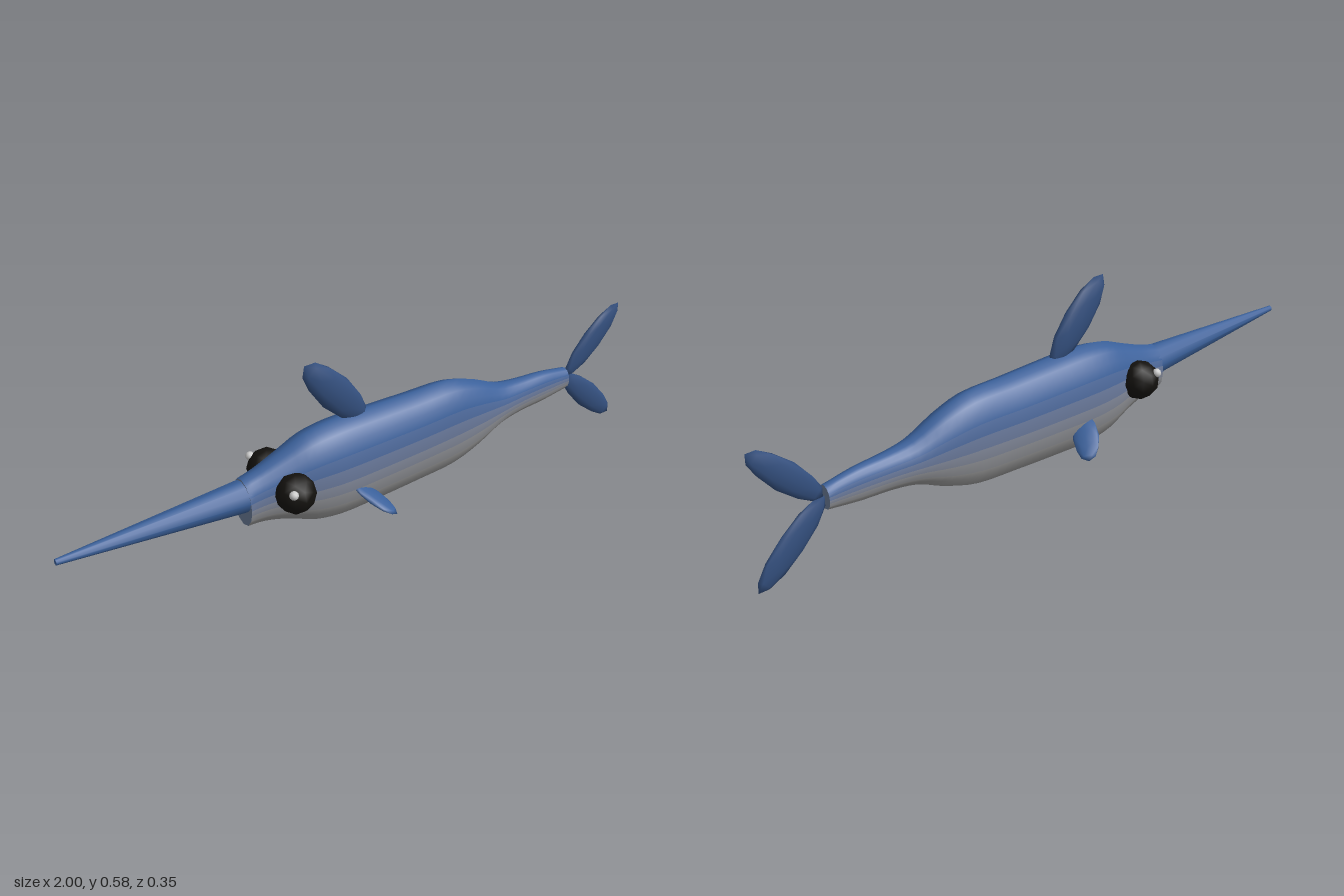
import * as THREE from 'three';

const BLUE = 0x3a609a, FIN = 0x34507f, BELLY = 0x9a9a9a;
const mat = (color) => new THREE.MeshStandardMaterial({ color });

function add(parent, name, geometry, color) {
  const mesh = new THREE.Mesh(geometry, mat(color));
  mesh.name = name;
  parent.add(mesh);
  return mesh;
}

// Body cross-sections: x, top y, bottom y, half width
const SECTIONS = [
  [-0.435, 0.29, 0.135, 0.054], [-0.38, 0.305, 0.13, 0.058], [-0.3, 0.335, 0.105, 0.072],
  [-0.22, 0.366, 0.068, 0.087], [-0.13, 0.378, 0.051, 0.094], [0, 0.376, 0.052, 0.092],
  [0.16, 0.371, 0.058, 0.087], [0.3, 0.367, 0.066, 0.08], [0.4, 0.335, 0.098, 0.069],
  [0.5, 0.288, 0.145, 0.053], [0.58, 0.275, 0.158, 0.042], [0.68, 0.268, 0.163, 0.034],
  [0.78, 0.25, 0.176, 0.027],
];

// Twelve-sided loft, split into strips that fade from blue back to grey belly
function buildBody() {
  const body = new THREE.Group();
  body.name = 'body';
  const sides = 24, rows = 36;
  const spine = new THREE.CatmullRomCurve3(SECTIONS.map((s) => new THREE.Vector3(s[0], s[1], s[2])));
  const width = new THREE.SplineCurve(SECTIONS.map((s) => new THREE.Vector2(s[0], s[3])));
  const pos = [], index = [];
  for (let i = 0; i <= rows; i++) {
    const p = spine.getPoint(i / rows);
    const w = width.getPoint(i / rows).y;
    for (let j = 0; j < sides; j++) {
      const a = (j / sides) * Math.PI * 2;
      const r = j % 2 ? Math.cos(Math.PI / 12) : 1;
      pos.push(p.x, (p.y + p.z) / 2 + r * Math.cos(a) * (p.y - p.z) / 2, r * Math.sin(a) * w);
    }
  }
  const strips = Array.from({ length: sides / 2 }, () => []);
  for (let i = 0; i < rows; i++) {
    for (let j = 0; j < sides; j++) {
      const k = (j + 1) % sides;
      const a = i * sides + j, b = i * sides + k, c = a + sides, d = b + sides;
      const quad = [a, b, c, b, d, c];
      index.push(...quad);
      strips[Math.min(j, sides - 1 - j)].push(...quad);
    }
  }
  const whole = new THREE.BufferGeometry();
  whole.setAttribute('position', new THREE.Float32BufferAttribute(pos, 3));
  whole.setIndex(index);
  whole.computeVertexNormals();
  strips.forEach((strip, k) => {
    const g = new THREE.BufferGeometry();
    g.setAttribute('position', whole.attributes.position);
    g.setAttribute('normal', whole.attributes.normal);
    g.setIndex(strip);
    const height = Math.cos(((k + 0.5) / strips.length) * Math.PI);
    const t = 1 - THREE.MathUtils.smoothstep(height, -0.65, 0.65);
    const color = new THREE.Color(BLUE).lerp(new THREE.Color(BELLY), t);
    add(body, 'bodyStrip' + (k + 1), g, color);
  });
  // End faces
  for (const [name, s, turn] of [['faceCap', SECTIONS[0], -1], ['tailCap', SECTIONS.at(-1), 1]]) {
    const cap = add(body, name, new THREE.CircleGeometry(1, 12), 0x6a7c98);
    cap.scale.set(s[3], (s[1] - s[2]) / 2, 1);
    cap.rotation.y = turn * Math.PI / 2;
    cap.position.set(s[0], (s[1] + s[2]) / 2, 0);
  }
  return body;
}

// Flattened low-poly ellipsoid: size is half width, half length, half thickness
function addFin(parent, name, center, size, color = FIN) {
  const fin = add(parent, name, new THREE.IcosahedronGeometry(1, 1), color);
  fin.position.set(...center);
  fin.scale.set(...size);
  return fin;
}

export function createModel() {
  const model = new THREE.Group();
  model.name = 'fish';
  model.add(buildBody());

  // Long tapered bill
  const base = new THREE.Vector3(-0.425, 0.234, 0), tip = new THREE.Vector3(-1, 0.253, 0);
  const axis = tip.clone().sub(base);
  const bill = add(model, 'bill', new THREE.CylinderGeometry(0.009, 0.05, axis.length(), 12), BLUE);
  bill.position.copy(base).add(tip).multiplyScalar(0.5);
  bill.quaternion.setFromUnitVectors(new THREE.Vector3(0, 1, 0), axis.normalize());

  // Back fin and forked tail
  addFin(model, 'dorsalFin', [-0.115, 0.466, 0], [0.054, 0.157, 0.024]).rotation.z = 0.7;
  addFin(model, 'upperTailFin', [0.89, 0.32, 0], [0.043, 0.148, 0.017]).rotation.z = -0.79;
  addFin(model, 'lowerTailFin', [0.89, 0.111, 0], [0.043, 0.154, 0.017]).rotation.z = -2.34;

  // Eyes, glints and side fins, mirrored front to back
  for (const [side, s] of [['near', 1], ['far', -1]]) {
    addFin(model, side + 'Eye', [-0.305, 0.237, s * 0.078], [0.061, 0.061, 0.061], 0x14120f);
    addFin(model, side + 'EyeGlint', [-0.336, 0.266, s * 0.121], [0.014, 0.014, 0.014], 0xffffff);

    const along = new THREE.Vector3(0.5, -0.5, s * 0.72).normalize();
    const normal = new THREE.Vector3(0.45, 0.85, s * 0.28).normalize();
    const across = along.clone().cross(normal).normalize();
    normal.crossVectors(across, along);
    const fin = addFin(model, side + 'SideFin', [-0.055, 0.139, s * 0.112], [0.04, 0.083, 0.012], BLUE);
    fin.quaternion.setFromRotationMatrix(new THREE.Matrix4().makeBasis(across, along, normal));
  }
  return model;
}
